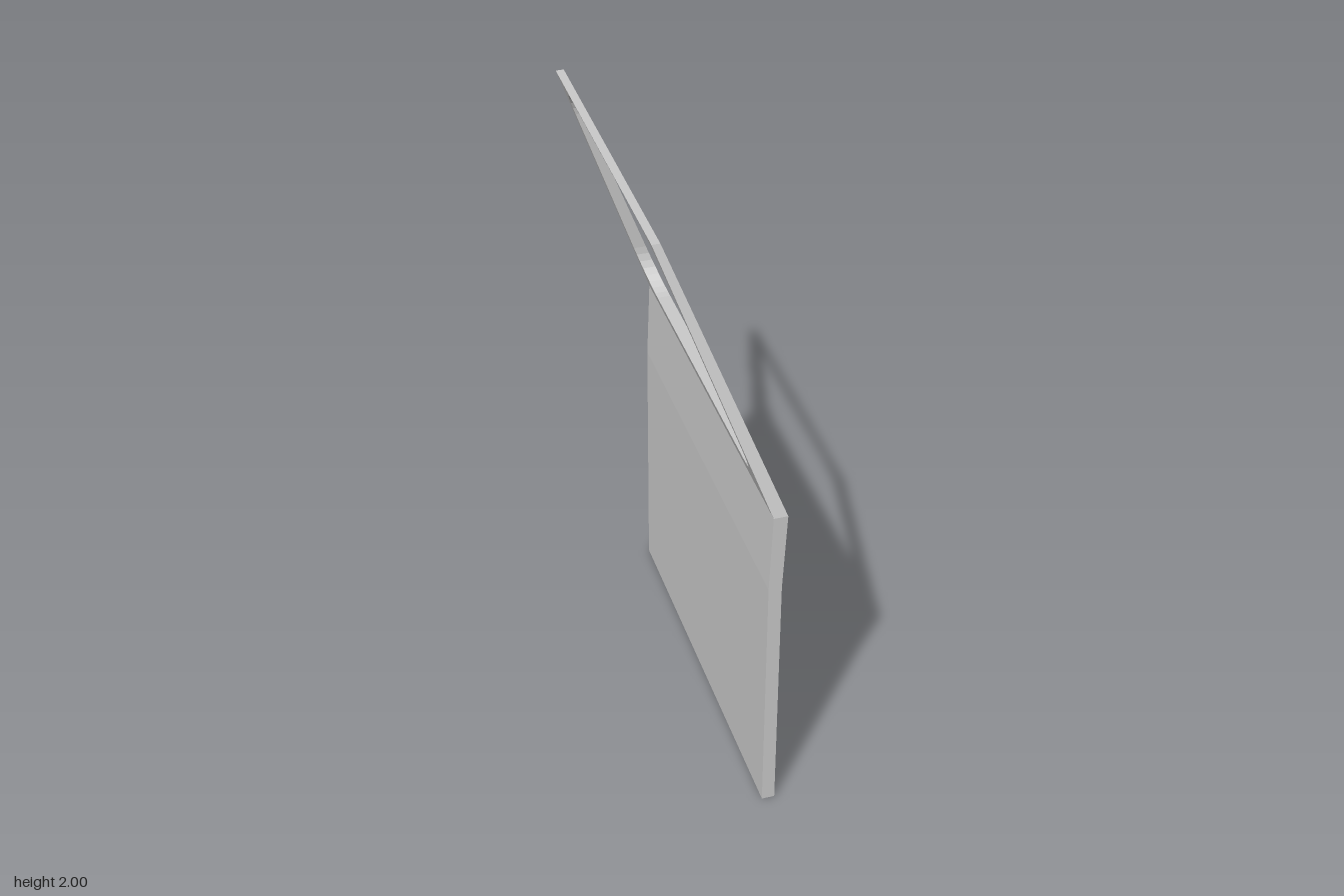
import * as THREE from 'three';

const material = new THREE.MeshStandardMaterial({ color: 0xcccccc, flatShading: true });

// Door section from sill to roof: [height, inner x, outer x, front edge z]
const section = [
  [0, 0.1, 0.142, 0.66],
  [0.88, 0.1, 0.142, 0.66],
  [1.15, 0.109, 0.154, 0.66],
  [2, -0.19, -0.164, 0.42],
];
const REAR = -0.66;

// Closed path through corners [z, y, cut length], each corner rounded
function roundedPath(corners) {
  const path = new THREE.Path();
  const pts = corners.map(([z, y]) => new THREE.Vector2(-z, y));
  const n = pts.length;
  corners.forEach(([, , cut], i) => {
    const p = pts[i];
    const toward = (q, d) => p.clone().add(q.clone().sub(p).setLength(d));
    const prev = pts[(i + n - 1) % n], next = pts[(i + 1) % n];
    const a = toward(prev, cut), b = toward(next, cut);
    const c = toward(prev, cut * 0.45), d = toward(next, cut * 0.45);
    if (i === 0) path.moveTo(a.x, a.y); else path.lineTo(a.x, a.y);
    path.bezierCurveTo(c.x, c.y, d.x, d.y, b.x, b.y);
  });
  path.closePath();
  return path;
}

// One band of the door: side outline extruded across x, then fitted to the section
function doorBand(name, low, high, hole) {
  const [y0, in0, out0, front0] = low;
  const [y1, in1, out1, front1] = high;
  const shape = new THREE.Shape([
    new THREE.Vector2(-front0, y0), new THREE.Vector2(-REAR, y0),
    new THREE.Vector2(-REAR, y1), new THREE.Vector2(-front1, y1),
  ]);
  if (hole) shape.holes.push(hole);
  const geo = new THREE.ExtrudeGeometry(shape, { depth: 1, bevelEnabled: false, curveSegments: 8 });
  geo.rotateY(Math.PI / 2);
  const p = geo.attributes.position;
  const kept = [];
  for (let i = 0; i < p.count; i += 3) {
    // Leave out the faces hidden in the joints between bands
    const onSeam = (y) => y > 0 && y < 2 && [0, 1, 2].every((k) => Math.abs(p.getY(i + k) - y) < 1e-4);
    if (onSeam(y0) || onSeam(y1)) continue;
    for (let k = i; k < i + 3; k++) {
      const y = p.getY(k), t = (y - y0) / (y1 - y0);
      const inner = THREE.MathUtils.lerp(in0, in1, t);
      const outer = THREE.MathUtils.lerp(out0, out1, t);
      kept.push(THREE.MathUtils.lerp(inner, outer, p.getX(k)), y, p.getZ(k));
    }
  }
  const out = new THREE.BufferGeometry();
  out.setAttribute('position', new THREE.Float32BufferAttribute(kept, 3));
  out.computeVertexNormals();
  const mesh = new THREE.Mesh(out, material);
  mesh.name = name;
  return mesh;
}

// U-shaped pull handle, its grip leaning slightly outward at the top
function pullHandle() {
  const base = 0.142, face = 0.187, rear = -0.556, front = -0.344;
  const grip = 0.014, post = 0.008;
  const outline = [
    [base, front], [face, front], [face, rear], [base, rear],
    [base, rear + post], [face - grip, rear + post],
    [face - grip, front - post], [base, front - post],
  ];
  const shape = new THREE.Shape(outline.map(([x, z]) => new THREE.Vector2(x, -z)));
  const geo = new THREE.ExtrudeGeometry(shape, { depth: 0.037, bevelEnabled: false });
  geo.rotateX(-Math.PI / 2);
  geo.translate(0, 0.9, 0);
  const p = geo.attributes.position;
  for (let i = 0; i < p.count; i++) {
    if (p.getY(i) < 0.91 && p.getX(i) > face - 0.001) p.setX(i, face - 0.005);
  }
  geo.computeVertexNormals();
  const mesh = new THREE.Mesh(geo, material);
  mesh.name = 'pullHandle';
  return mesh;
}

export function createModel() {
  const group = new THREE.Group();
  group.name = 'door';

  // Window opening with a raked front edge
  const opening = roundedPath([
    [0.593, 1.22, 0.155],
    [0.377, 1.99, 0.11],
    [-0.6, 1.99, 0.12],
    [-0.6, 1.22, 0.125],
  ]);

  group.add(doorBand('lowerPanel', section[0], section[1]));
  group.add(doorBand('beltPanel', section[1], section[2]));
  group.add(doorBand('windowFrame', section[2], section[3], opening));
  group.add(pullHandle());
  return group;
}
